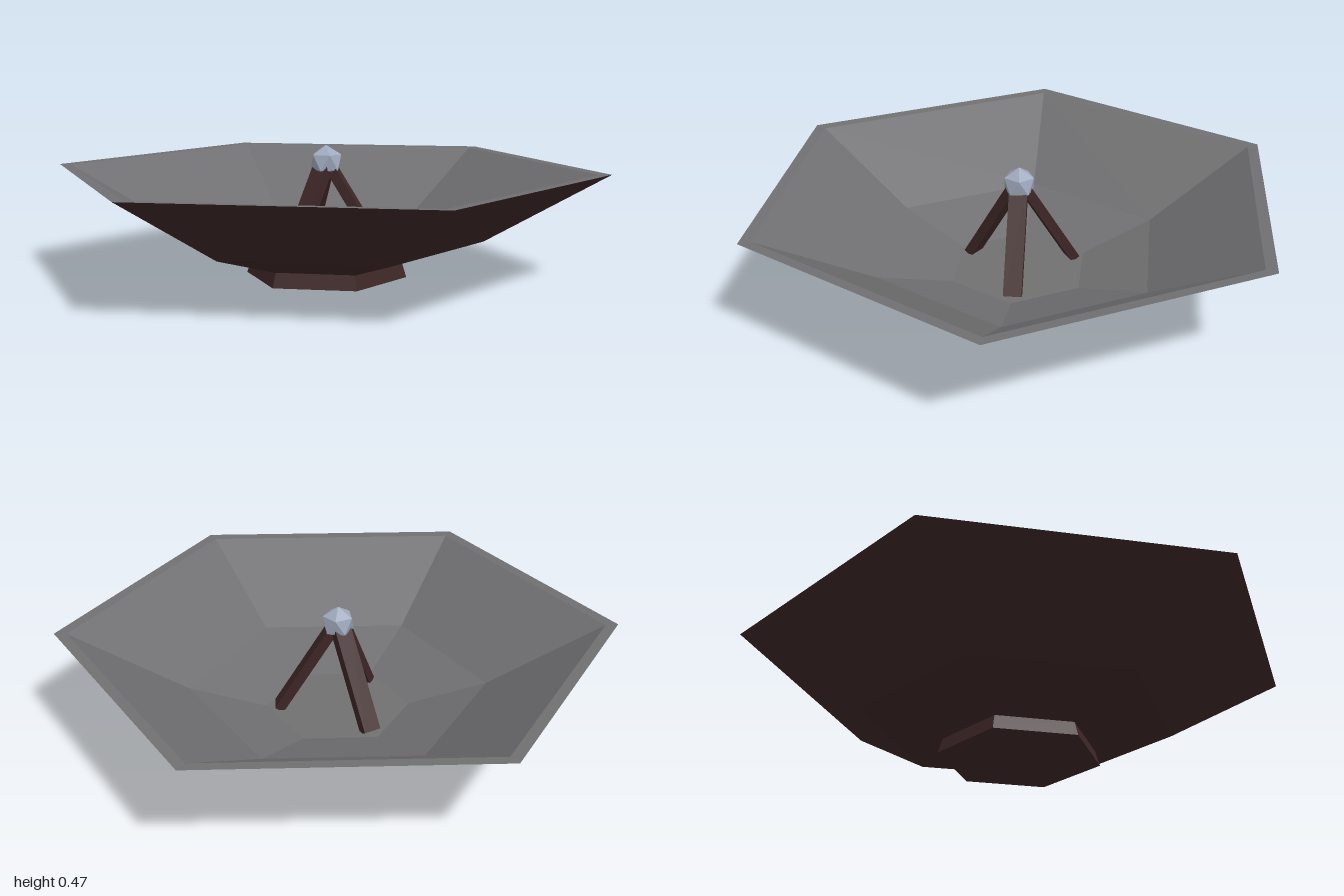
import * as THREE from 'three';

const mat = (name, color) => {
  const m = new THREE.MeshStandardMaterial({ color, flatShading: true });
  m.name = name;
  return m;
};

export function createModel() {
  const brown = mat('dark brown', 0x3e2626);
  const grey = mat('panel grey', 0x707072);
  const steel = mat('pale steel', 0xa0aabe);
  const model = new THREE.Group();
  model.name = 'dish';

  const add = (name, geometry, material, parent = model) => {
    const mesh = new THREE.Mesh(geometry, material);
    mesh.name = name;
    parent.add(mesh);
    return mesh;
  };
  // Six-sided lathe with corners on the z axis
  const hexLathe = (pts) => new THREE.LatheGeometry(pts.map(([r, y]) => new THREE.Vector2(r, y)), 6);

  // Bowl: dark outer shell, grey rim and inside
  add('outerShell', hexLathe([[0, 0.055], [0.28, 0.055], [0.565, 0.14], [1, 0.387]]), brown);
  add('innerDish', hexLathe([[1, 0.387], [0.955, 0.385], [0.54, 0.155], [0.26, 0.075], [0, 0.075]]), grey);

  // Low hexagonal foot
  add('base', new THREE.CylinderGeometry(0.275, 0.292, 0.056, 6), brown).position.y = 0.03;

  // Tripod of flat struts leaning to the centre
  const top = new THREE.Vector3(0, 0.4, 0.015);
  const foot = new THREE.Vector3(0, 0.075, 0.215);
  const dir = top.clone().sub(foot);
  for (let i = 0; i < 3; i++) {
    const leg = new THREE.Group();
    leg.name = 'strut' + (i + 1);
    leg.rotation.y = (i * Math.PI * 2) / 3;
    const bar = add('strutBar', new THREE.BoxGeometry(0.065, dir.length(), 0.035), brown, leg);
    bar.position.copy(top).add(foot).multiplyScalar(0.5);
    bar.quaternion.setFromUnitVectors(new THREE.Vector3(0, 1, 0), dir.clone().normalize());
    model.add(leg);
  }

  // Faceted receiver with one corner pointing up
  const ball = new THREE.IcosahedronGeometry(0.061, 0);
  ball.rotateZ(Math.atan(2 / (1 + Math.sqrt(5))));
  add('receiver', ball, steel).position.y = 0.414;

  return model;
}
